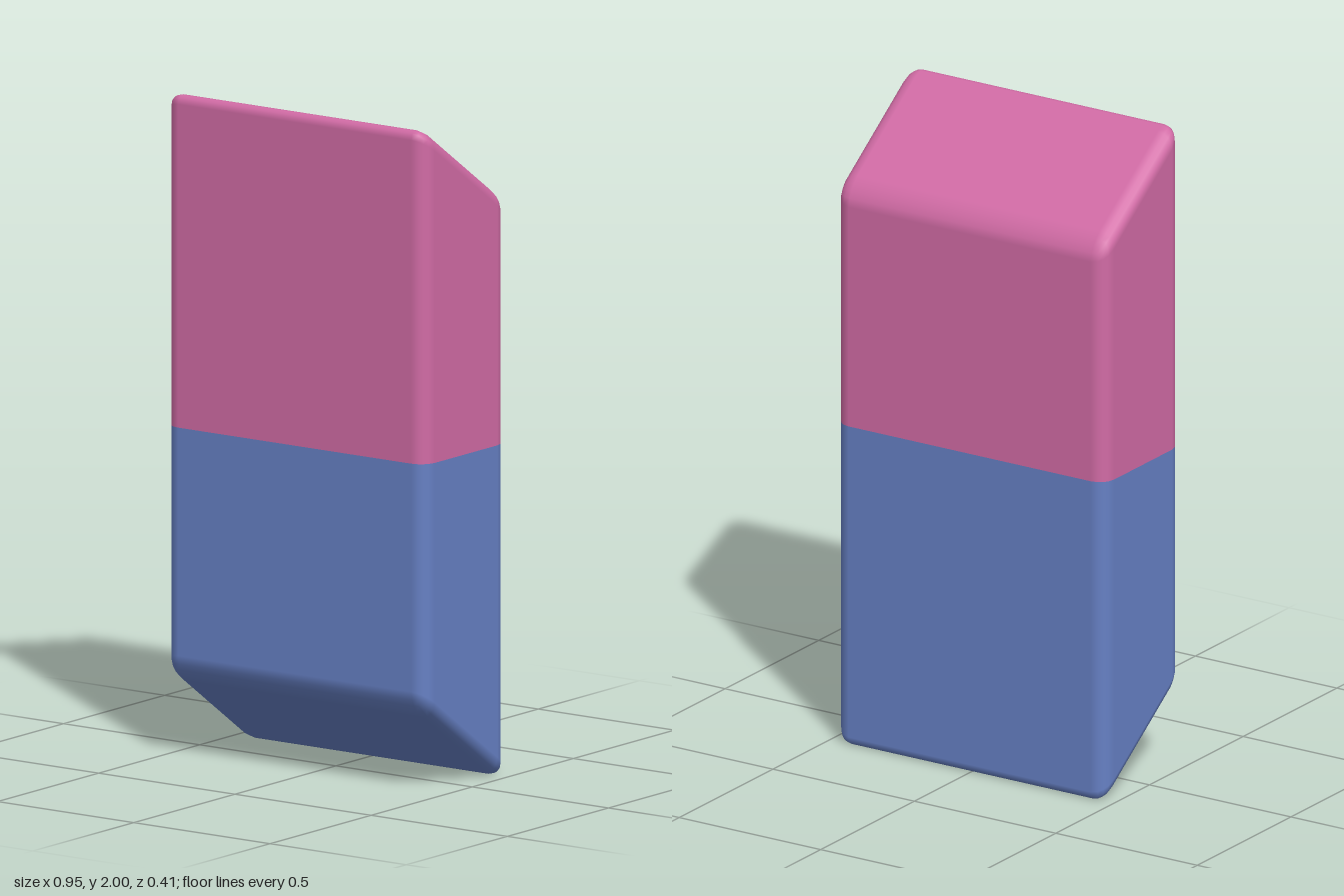
import * as THREE from 'three';
import { RoundedBoxGeometry } from 'three/addons/geometries/RoundedBoxGeometry.js';

const WIDTH = 0.955, HEIGHT = 1.762, DEPTH = 0.41, RADIUS = 0.05;
const SLANT = 0.7; // rise of the slanted ends per unit of depth
const SEAM = 1;    // height where the two colours meet

// One half of a slanted rounded block; side is 1 for the upper half, -1 for the lower
function halfBlock(side) {
  const geometry = new RoundedBoxGeometry(WIDTH, HEIGHT, DEPTH, 2, RADIUS).toNonIndexed();
  const isFar = [];
  const before = geometry.attributes.position;
  for (let i = 0; i < before.count; i++) isFar.push(before.getY(i) * side > 0);

  // Shear the block so both ends slope down towards the back
  const shear = new THREE.Matrix4().set(
    1, 0, 0, 0,
    0, 1, SLANT, SEAM,
    0, 0, 1, 0,
    0, 0, 0, 1
  );
  geometry.applyMatrix4(shear);

  // Flatten the other end onto the seam and drop the faces hidden inside
  const position = geometry.attributes.position;
  const kept = [];
  for (let i = 0; i < position.count; i += 3) {
    if (isFar[i] || isFar[i + 1] || isFar[i + 2]) kept.push(i, i + 1, i + 2);
  }
  for (let i = 0; i < position.count; i++) if (!isFar[i]) position.setY(i, SEAM);
  geometry.setIndex(kept);
  geometry.clearGroups();
  return geometry;
}

export function createModel() {
  const eraser = new THREE.Group();
  eraser.name = 'eraser';
  const halves = [['upperHalf', 1, 0xd16ba5], ['lowerHalf', -1, 0x6680c4]];
  for (const [name, side, color] of halves) {
    const mesh = new THREE.Mesh(halfBlock(side), new THREE.MeshStandardMaterial({ color }));
    mesh.name = name;
    eraser.add(mesh);
  }
  return eraser;
}
